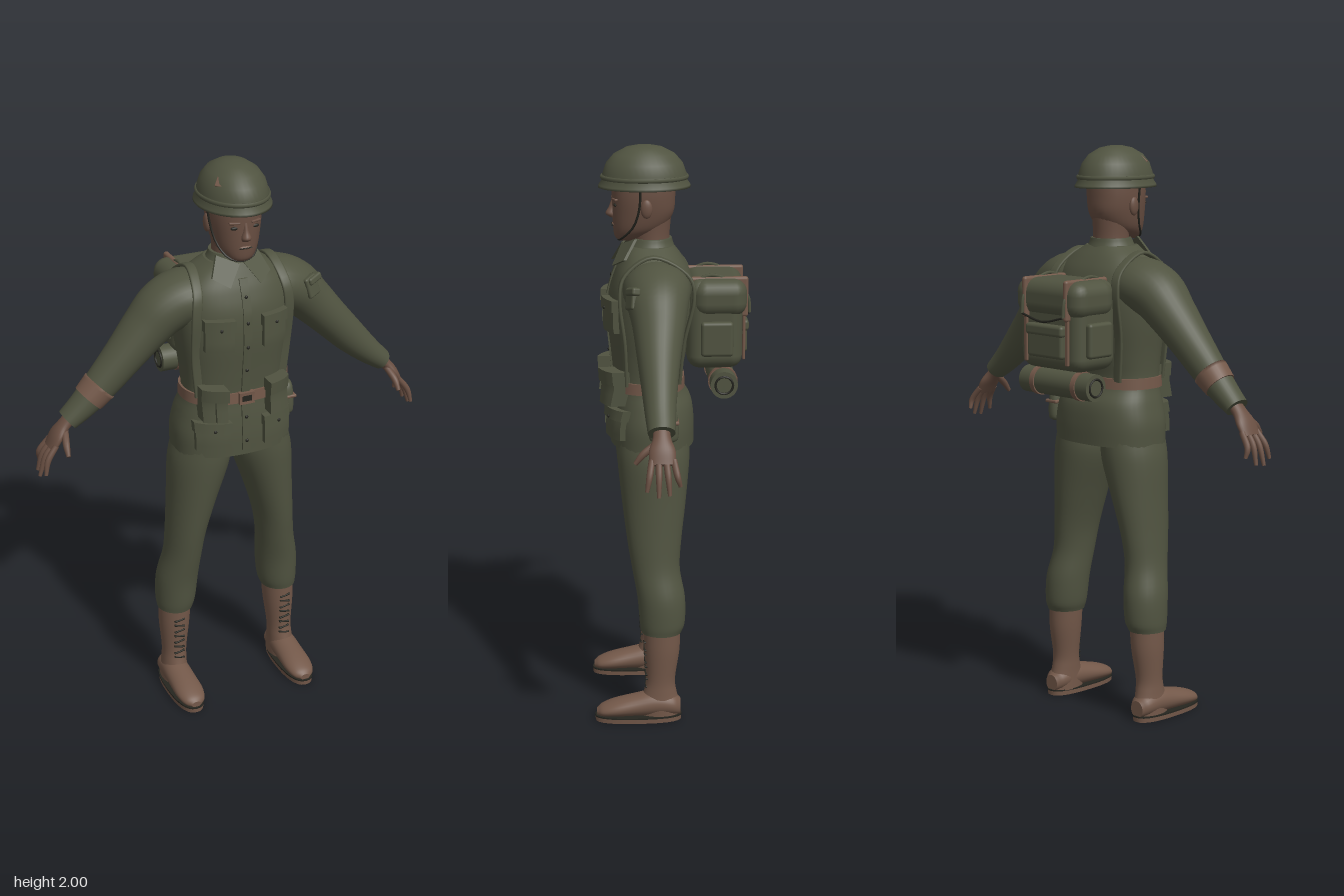
import * as THREE from 'three';
import { RoundedBoxGeometry } from 'three/addons/geometries/RoundedBoxGeometry.js';

const mat = (name, color) => {
  const m = new THREE.MeshStandardMaterial({ color });
  m.name = name;
  return m;
};
const V = (x, y, z) => new THREE.Vector3(x, y, z);

// Smooth closed loft through keys [x, y, z, halfWidth along ref, halfDepth].
// axis fixes the ring plane; otherwise rings follow the path. n > 2 squares the section.
function loft(keys, { ref = V(1, 0, 0), axis = null, n = 2, seg = 28, sub = 5 } = {}) {
  const centre = new THREE.CatmullRomCurve3(keys.map(k => V(k[0], k[1], k[2])), false, 'catmullrom', 0.5);
  const size = new THREE.CatmullRomCurve3(keys.map(k => V(k[3], k[4], 0)), false, 'catmullrom', 0.5);
  const steps = (keys.length - 1) * sub, pos = [], idx = [];
  const power = c => Math.sign(c) * Math.abs(c) ** (2 / n);
  for (let i = 0; i <= steps; i++) {
    const t = i / steps, c = centre.getPoint(t), r = size.getPoint(t);
    const d = axis || centre.getTangent(t);
    const u = ref.clone().addScaledVector(d, -ref.dot(d)).normalize(), v = u.clone().cross(d);
    for (let j = 0; j < seg; j++) {
      const a = j / seg * Math.PI * 2;
      const p = c.clone().addScaledVector(u, r.x * power(Math.cos(a))).addScaledVector(v, r.y * power(Math.sin(a)));
      pos.push(p.x, p.y, p.z);
      if (i < steps) {
        const A = i * seg + j, B = i * seg + (j + 1) % seg;
        idx.push(A, A + seg, B, B, A + seg, B + seg);
      }
    }
  }
  for (const end of [0, 1]) { // caps
    const base = pos.length / 3, from = end * steps * seg * 3, c = centre.getPoint(end);
    pos.push(...pos.slice(from, from + seg * 3), c.x, c.y, c.z);
    for (let j = 0; j < seg; j++) {
      const a = base + j, b = base + (j + 1) % seg;
      idx.push(base + seg, ...(end ? [b, a] : [a, b]));
    }
  }
  const g = new THREE.BufferGeometry();
  g.setAttribute('position', new THREE.Float32BufferAttribute(pos, 3));
  g.setIndex(idx);
  g.computeVertexNormals();
  return g;
}

// Jacket sections: y, half width, centre z, half depth
const TORSO = [
  [0.975, 0.212, 0.06, 0.145], [1.05, 0.212, 0.06, 0.145], [1.12, 0.197, 0.062, 0.138], [1.19, 0.178, 0.075, 0.118],
  [1.28, 0.182, 0.072, 0.128], [1.4, 0.198, 0.065, 0.147], [1.5, 0.205, 0.06, 0.148], [1.57, 0.195, 0.058, 0.13],
  [1.62, 0.15, 0.06, 0.105], [1.66, 0.09, 0.065, 0.08],
];
function chestZ(x, y) {
  let i = 0;
  while (i < TORSO.length - 2 && y > TORSO[i + 1][0]) i++;
  const t = THREE.MathUtils.clamp((y - TORSO[i][0]) / (TORSO[i + 1][0] - TORSO[i][0]), 0, 1);
  const [, w, c, d] = TORSO[i].map((a, k) => a + (TORSO[i + 1][k] - a) * t);
  return c + d * Math.max(0, 1 - Math.abs(x / w) ** 2.4) ** (1 / 2.4);
}
// Thin box laid over the front of the jacket
function drape(x, y, w, h, lift) {
  const g = new THREE.BoxGeometry(w, h, lift + 0.02, 6, Math.ceil(h / 0.02), 1).translate(x, y, lift / 2 - 0.01);
  const p = g.attributes.position;
  for (let i = 0; i < p.count; i++) p.setZ(i, p.getZ(i) + chestZ(p.getX(i), p.getY(i)));
  g.computeVertexNormals();
  return g;
}

export function createModel() {
  const root = new THREE.Group();
  const olive = mat('olive cloth', 0x505340), leather = mat('brown leather', 0x735849);
  const skin = mat('brown skin', 0x694f42), dark = mat('dark trim', 0x25251f);
  const UP = V(0, 1, 0), Z = V(0, 0, 1);
  const add = (name, geo, m, x = 0, y = 0, z = 0) => {
    const o = new THREE.Mesh(geo, m);
    o.name = name;
    o.position.set(x, y, z);
    root.add(o);
    return o;
  };
  const box = (w, h, d, r = 0.008) => new RoundedBoxGeometry(w, h, d, 3, r);
  const ball = (a, b, c) => new THREE.SphereGeometry(1, 18, 12).scale(a, b, c);
  const tube = (pts, r) => new THREE.TubeGeometry(new THREE.CatmullRomCurve3(pts.map(p => V(...p))), 24, r, 6);

  // Head and face
  add('neck', loft([[0, 1.6, 0.055, 0.072, 0.07], [0, 1.68, 0.06, 0.062, 0.062], [0, 1.78, 0.06, 0.066, 0.07]], { axis: UP }), skin);
  add('head', loft([
    [0, 1.677, 0.148, 0.025, 0.025], [0, 1.69, 0.135, 0.047, 0.05], [0, 1.72, 0.105, 0.07, 0.085],
    [0, 1.77, 0.089, 0.083, 0.104], [0, 1.83, 0.086, 0.09, 0.108], [0, 1.9, 0.085, 0.088, 0.108],
  ], { axis: UP, n: 2.2 }), skin);
  add('nose', loft([[0, 1.755, 0.19, 0.012, 0.01], [0, 1.768, 0.196, 0.017, 0.02], [0, 1.79, 0.19, 0.01, 0.015], [0, 1.82, 0.185, 0.007, 0.009]], { axis: UP, seg: 14 }), skin);
  add('lips', ball(0.026, 0.008, 0.012), leather, 0, 1.731, 0.183);
  add('mouthLine', box(0.044, 0.003, 0.008, 0.001), dark, 0, 1.731, 0.192);

  // Helmet
  const dome = [[0.108, 1.868], [0.126, 1.858], [0.125, 1.866], [0.116, 1.882], [0.114, 1.905], [0.104, 1.94], [0.083, 1.97], [0.05, 1.992], [0.022, 1.999], [0, 2]];
  add('helmet', new THREE.LatheGeometry(dome.map(p => new THREE.Vector2(...p)), 40).scale(1, 1, 1.25), olive, 0, 0, 0.083);
  add('helmetLining', new THREE.CircleGeometry(0.11, 32).rotateX(Math.PI / 2).scale(1, 1, 1.25), olive, 0, 1.867, 0.083);
  add('helmetBand', new THREE.TorusGeometry(0.116, 0.005, 6, 44).rotateX(Math.PI / 2).scale(1, 1.6, 1.25), olive, 0, 1.893, 0.083);
  const badge = add('helmetBadge', box(0.03, 0.035, 0.008, 0.002), leather, -0.071, 1.955, 0.148);
  badge.lookAt(-0.16, 2.06, 0.22);
  add('chinStrap', tube([[0.1, 1.868, 0.1], [0.088, 1.79, 0.105], [0.072, 1.73, 0.125], [0.045, 1.69, 0.16], [0, 1.678, 0.172],
    [-0.045, 1.69, 0.16], [-0.072, 1.73, 0.125], [-0.088, 1.79, 0.105], [-0.1, 1.868, 0.1]], 0.004), dark);

  // Jacket
  add('jacket', loft(TORSO.map(([y, w, c, d]) => [0, y, c, w, d]), { axis: UP, n: 2.4, seg: 48 }), olive);
  add('collarStand', loft([[0, 1.63, 0.062, 0.1, 0.092], [0, 1.665, 0.062, 0.08, 0.077], [0, 1.685, 0.06, 0.072, 0.07]], { axis: UP }), olive);
  add('buttonPlacket', drape(0, 1.305, 0.03, 0.62, 0.006), olive);
  for (let i = 0; i < 7; i++) {
    const y = 1.03 + i * 0.088;
    add('button', ball(0.006, 0.006, 0.004), dark, 0, y, chestZ(0, y) + 0.007);
  }

  // Belt
  add('belt', loft([[0, 1.172, 0.074, 0.187, 0.128], [0, 1.21, 0.074, 0.185, 0.126]], { axis: UP, n: 2.4, seg: 48 }), leather);
  add('beltBuckle', drape(0, 1.191, 0.055, 0.042, 0.018), leather);
  add('buckleSlot', drape(0, 1.191, 0.034, 0.02, 0.02), dark);

  for (const s of [1, -1]) {
    const side = s > 0 ? 'left' : 'right';
    const put = (name, ...rest) => add(side + name, ...rest);

    // Face details
    put('Ear', ball(0.011, 0.032, 0.02), skin, s * 0.091, 1.795, 0.08);
    put('Eye', ball(0.015, 0.006, 0.006), dark, s * 0.036, 1.802, 0.184);
    put('Brow', box(0.038, 0.008, 0.014, 0.003), skin, s * 0.037, 1.82, 0.185).rotation.y = s * 0.3;

    // Collar flap
    const flap = new THREE.Shape([[0.008, 1.665], [0.075, 1.69], [0.105, 1.625], [0.055, 1.598]].map(p => new THREE.Vector2(s * p[0], p[1])));
    const fg = new THREE.ExtrudeGeometry(flap, { depth: 0.01, bevelEnabled: false });
    const fp = fg.attributes.position;
    for (let i = 0; i < fp.count; i++) fp.setZ(i, fp.getZ(i) + 0.152 + (1.67 - fp.getY(i)) * 0.75 - Math.abs(fp.getX(i)) * 0.35);
    fg.computeVertexNormals();
    put('CollarFlap', fg, olive);

    // Pockets with flaps and buttons
    for (const [name, x, y, w, h] of [['ChestPocket', 0.1, 1.435, 0.092, 0.11], ['HipPocket', 0.118, 1.06, 0.11, 0.1]]) {
      put(name, drape(s * x, y, w, h, 0.02), olive);
      put(name + 'Flap', drape(s * x, y + h * 0.36, w + 0.008, h * 0.36, 0.028), olive);
      put(name + 'Button', ball(0.006, 0.006, 0.004), dark, s * x, y + h * 0.26, chestZ(x, y + h * 0.26) + 0.029);
    }

    // Ammunition pouches: one wide on the left, two narrow on the right
    for (const [x, w] of s > 0 ? [[0.115, 0.08]] : [[-0.1, 0.036], [-0.14, 0.036]]) {
      put('AmmoPouch', drape(x, 1.185, w, 0.115, 0.05), olive);
      put('AmmoPouchFlap', drape(x, 1.225, w + 0.006, 0.045, 0.057), olive);
    }

    // Shoulder strap, over the shoulder from belt to belt
    put('ShoulderStrap', loft([[0.15, 1.2, 0.152], [0.165, 1.35, 0.158], [0.168, 1.5, 0.175], [0.157, 1.585, 0.155], [0.145, 1.642, 0.06],
      [0.15, 1.585, -0.052], [0.155, 1.5, -0.077], [0.14, 1.35, -0.045], [0.12, 1.2, -0.03]].map(p => [s * p[0], p[1], p[2], 0.017, 0.006]), { n: 4, seg: 16 }), olive);

    // Sleeve
    put('Sleeve', loft([[0.08, 1.53, 0.055, 0.1, 0.085], [0.16, 1.535, 0.05, 0.115, 0.092], [0.235, 1.505, 0.05, 0.104, 0.092],
      [0.3, 1.445, 0.05, 0.089, 0.081], [0.38, 1.36, 0.054, 0.073, 0.069], [0.46, 1.275, 0.056, 0.06, 0.06],
      [0.53, 1.208, 0.057, 0.051, 0.048], [0.59, 1.158, 0.056, 0.045, 0.037]].map(k => [s * k[0], ...k.slice(1)]), { ref: Z }), olive);

    // Hand
    put('Palm', loft([[0.57, 1.175, 0.056, 0.028, 0.022], [0.603, 1.143, 0.056, 0.03, 0.02], [0.63, 1.11, 0.056, 0.043, 0.019], [0.654, 1.07, 0.056, 0.042, 0.014]]
      .map(k => [s * k[0], ...k.slice(1)]), { ref: Z }), skin);
    const finger = (name, a, b, c, r) => put(name, loft([[...a, r, r], [...b, r, r], [...c, r * 0.6, r * 0.6]].map(k => [s * k[0], ...k.slice(1)]), { ref: Z, seg: 10 }), skin);
    finger('Thumb', [0.605, 1.13, 0.07], [0.617, 1.098, 0.115], [0.62, 1.065, 0.143], 0.012);
    [[0.02, 0, 0.678, 1.005], [0.044, 0.035, 0.695, 0.98], [0.068, 0.07, 0.699, 0.975], [0.09, 0.108, 0.69, 0.992]].forEach(([z0, z1, x, y], i) =>
      finger('Finger' + (i + 1), [0.645, 1.085, z0], [0.678, 1.04, (z0 + z1) / 2], [x, y, z1], 0.0105));

    // Trouser leg
    put('TrouserLeg', loft([[0.204, 0.322, 0.037, 0.063, 0.069], [0.2, 0.36, 0.034, 0.071, 0.079], [0.194, 0.45, 0.038, 0.074, 0.083],
      [0.18, 0.55, 0.055, 0.067, 0.083], [0.168, 0.65, 0.06, 0.07, 0.094], [0.145, 0.78, 0.06, 0.086, 0.11], [0.118, 0.92, 0.06, 0.107, 0.124],
      [0.108, 1.0, 0.06, 0.1, 0.125]].map(k => [s * k[0], ...k.slice(1)]), { axis: UP }), olive);

    // Boot
    put('BootShaft', loft([[0.214, 0.018, 0.045, 0.046, 0.072], [0.214, 0.06, 0.045, 0.046, 0.07], [0.212, 0.1, 0.043, 0.044, 0.058], [0.21, 0.15, 0.041, 0.044, 0.051],
      [0.207, 0.25, 0.036, 0.054, 0.061], [0.204, 0.33, 0.035, 0.058, 0.064]].map(k => [s * k[0], ...k.slice(1)]), { axis: UP }), leather);
    put('BootFoot', loft([[0.045, -0.028, 0.028, 0.03], [0.055, 0, 0.044, 0.04], [0.06, 0.06, 0.048, 0.046], [0.053, 0.13, 0.05, 0.039],
      [0.044, 0.2, 0.051, 0.03], [0.036, 0.245, 0.04, 0.021], [0.03, 0.266, 0.018, 0.011]].map(([y, z, a, b]) => [s * 0.216, y, z, a, b]), { axis: Z }), leather);
    put('BootSole', loft([[s * 0.217, 0, 0.12, 0.052, 0.151], [s * 0.217, 0.018, 0.12, 0.053, 0.152]], { axis: UP, n: 2.5 }), leather);
    put('SoleWelt', loft([[s * 0.217, 0.016, 0.12, 0.054, 0.153], [s * 0.217, 0.021, 0.12, 0.054, 0.153]], { axis: UP, n: 2.5 }), dark);
    for (let i = 0; i < 8; i++) {
      const y = 0.125 + i * 0.023;
      put('Lace', box(0.04, 0.006, 0.012, 0.002), dark, s * 0.209, y, 0.09 + Math.max(0, y - 0.15) * 0.04).rotation.z = i % 2 ? 0.2 : -0.2;
    }

    // Pack straps, buckles and carrying loop
    put('PackStrap', box(0.02, 0.14, 0.2, 0.01), leather, s * 0.1, 1.495, -0.165);
    put('PackStrapTail', box(0.016, 0.17, 0.01, 0.004), leather, s * 0.1, 1.36, -0.251);
    put('PackLoop', tube([[s * 0.1, 1.54, -0.06], [s * 0.1, 1.57, -0.14], [s * 0.1, 1.545, -0.21], [s * 0.1, 1.5, -0.262], [s * 0.1, 1.44, -0.27]], 0.006), olive);
    put('RollStrap', new THREE.CylinderGeometry(0.051, 0.051, 0.02, 24).rotateZ(Math.PI / 2), leather, s * 0.1, 1.2, -0.18);
    put('RollEnd', new THREE.TorusGeometry(0.03, 0.004, 6, 20).rotateY(Math.PI / 2), dark, s * 0.166, 1.2, -0.18);
  }

  // Right armband, left sleeve pocket
  add('armband', loft([[-0.472, 1.264, 0.056, 0.062, 0.062], [-0.514, 1.223, 0.057, 0.057, 0.055]], { ref: Z }), leather);
  add('sleevePocket', box(0.055, 0.075, 0.025), olive, 0.268, 1.528, 0.137).rotation.set(-0.2, 0.4, 0.3);
  add('sleevePocketFlap', box(0.06, 0.026, 0.032), olive, 0.276, 1.553, 0.134).rotation.set(-0.2, 0.4, 0.3);

  // Canteen on the left hip
  add('canteen', loft([[0.222, 1.02, 0.03, 0.018, 0.035], [0.222, 1.035, 0.03, 0.026, 0.05], [0.222, 1.09, 0.03, 0.026, 0.05], [0.222, 1.13, 0.03, 0.022, 0.04], [0.222, 1.145, 0.03, 0.012, 0.016]], { axis: UP, n: 2.5 }), olive);
  add('canteenCap', new THREE.CylinderGeometry(0.012, 0.013, 0.05, 16), leather, 0.222, 1.165, 0.03);
  add('canteenStrap', box(0.056, 0.012, 0.104, 0.005), leather, 0.222, 1.09, 0.03);

  // Backpack with lid, pocket and bedroll
  add('packBody', box(0.3, 0.31, 0.19, 0.045), olive, 0, 1.405, -0.15);
  add('packLid', box(0.325, 0.13, 0.19, 0.05), olive, 0, 1.495, -0.165);
  add('packPocket', box(0.17, 0.11, 0.04, 0.012), olive, 0, 1.35, -0.245);
  add('packPocketFlap', box(0.178, 0.04, 0.046, 0.012), olive, 0, 1.39, -0.247);
  add('packHandle', tube([[-0.1, 1.44, -0.27], [0, 1.42, -0.272], [0.1, 1.44, -0.27]], 0.004), dark);
  for (const x of [-0.155, 0.155]) add('packSidePouch', box(0.03, 0.12, 0.11, 0.012), olive, x, 1.36, -0.155);
  add('bedroll', new THREE.CylinderGeometry(0.047, 0.047, 0.33, 28).rotateZ(Math.PI / 2), olive, 0, 1.2, -0.18);
  return root;
}
